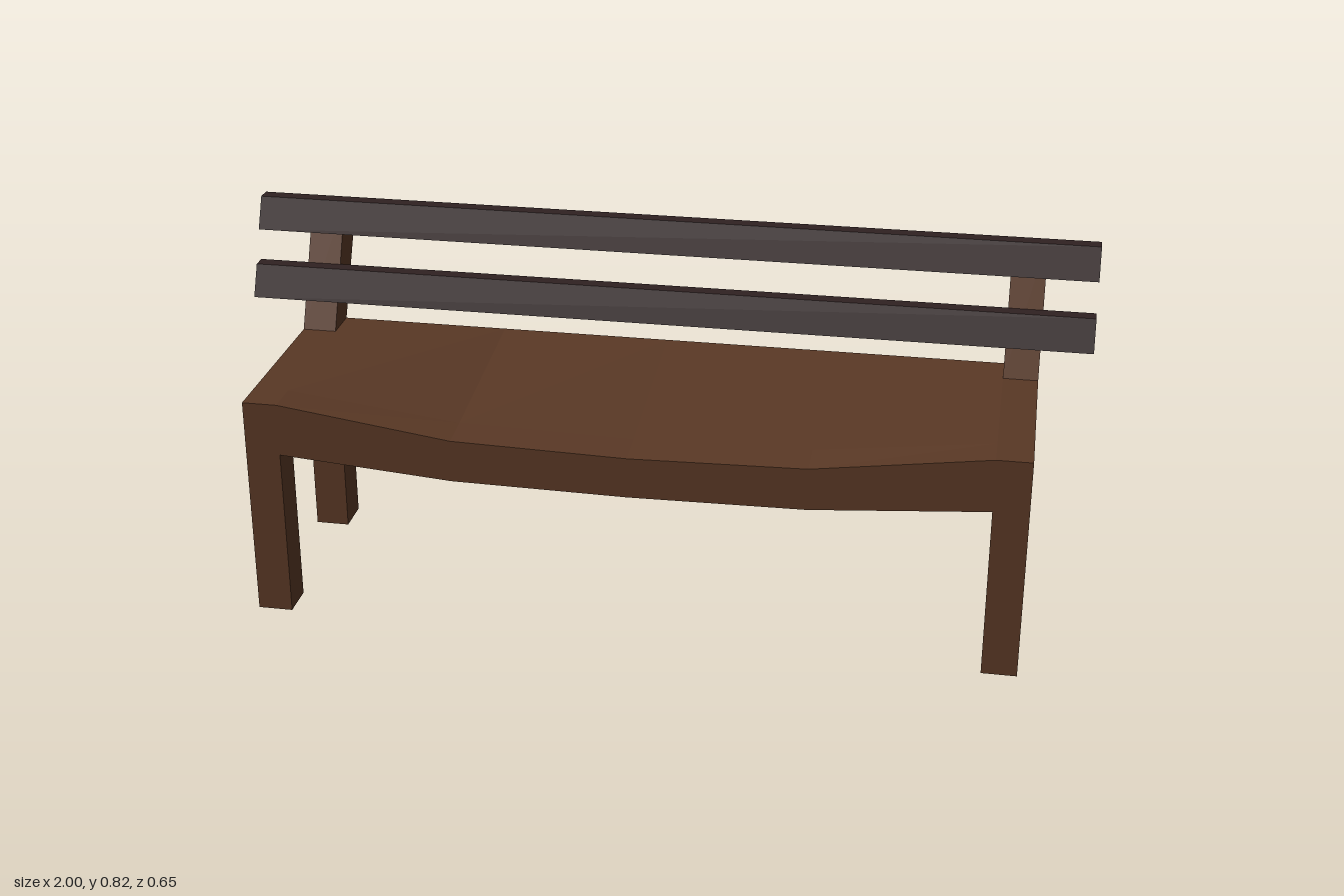
import * as THREE from 'three';

const wood = new THREE.MeshStandardMaterial({ color: 0x593825, flatShading: true });
const darkWood = new THREE.MeshStandardMaterial({ color: 0x302121, flatShading: true });

// Extrude a side profile of [z, y] points along x, from x0 to x1
function sideProfile(name, points, x0, x1, material) {
  const shape = new THREE.Shape(points.map(([z, y]) => new THREE.Vector2(-z, y)));
  const geo = new THREE.ExtrudeGeometry(shape, { depth: x1 - x0, bevelEnabled: false });
  geo.rotateY(Math.PI / 2).translate(x0, 0, 0);
  const mesh = new THREE.Mesh(geo, material);
  mesh.name = name;
  return mesh;
}

// Seat slab: slopes down from a straight back edge to a sagging, nearly level front lip
function makeSeat() {
  const geo = new THREE.BoxGeometry(1.6, 0.124, 0.525, 4, 1, 2);
  const pos = geo.attributes.position;
  // each row: z, sag of the top, sag of the underside
  const rows = { back: [-0.199, 0, 0], lip: [0.244, 0.057, 0.029], front: [0.328, 0.065, 0.036] };
  for (let i = 0; i < pos.count; i++) {
    const x = pos.getX(i), y = pos.getY(i), z = pos.getZ(i);
    const [rowZ, topDrop, bottomDrop] = z < -0.1 ? rows.back : z > 0.1 ? rows.front : rows.lip;
    const ax = Math.abs(x);
    const sag = ax > 0.6 ? 0 : ax > 0.2 ? 0.86 : 1;
    pos.setXYZ(i, x, y > 0 ? 0.527 - topDrop * sag : 0.403 - bottomDrop * sag, rowZ);
  }
  const flat = geo.toNonIndexed();
  flat.computeVertexNormals();
  const seat = new THREE.Mesh(flat, wood);
  seat.name = 'seat';
  return seat;
}

export function createModel() {
  const bench = new THREE.Group();
  bench.name = 'bench';

  // Side frames: two legs, seat rail and leaning back post in one outline
  const frame = [
    [0.328, 0], [0.328, 0.527], [-0.11, 0.527], [-0.245, 0.825], [-0.326, 0.785],
    [-0.199, 0.527], [-0.199, 0], [-0.11, 0], [-0.11, 0.403], [0.244, 0.403], [0.244, 0],
  ];
  bench.add(sideProfile('leftFrame', frame, 0.8, 0.88, wood));
  bench.add(sideProfile('rightFrame', frame, -0.88, -0.8, wood));

  bench.add(makeSeat());

  // Backrest slats: slanted profile lying against the posts
  for (const [name, z, y] of [['lowerSlat', -0.145, 0.602], ['upperSlat', -0.211, 0.752]]) {
    const profile = [[z, y], [z + 0.034, y], [z, y + 0.073], [z - 0.034, y + 0.073]];
    bench.add(sideProfile(name, profile, -1, 1, darkWood));
  }
  return bench;
}
